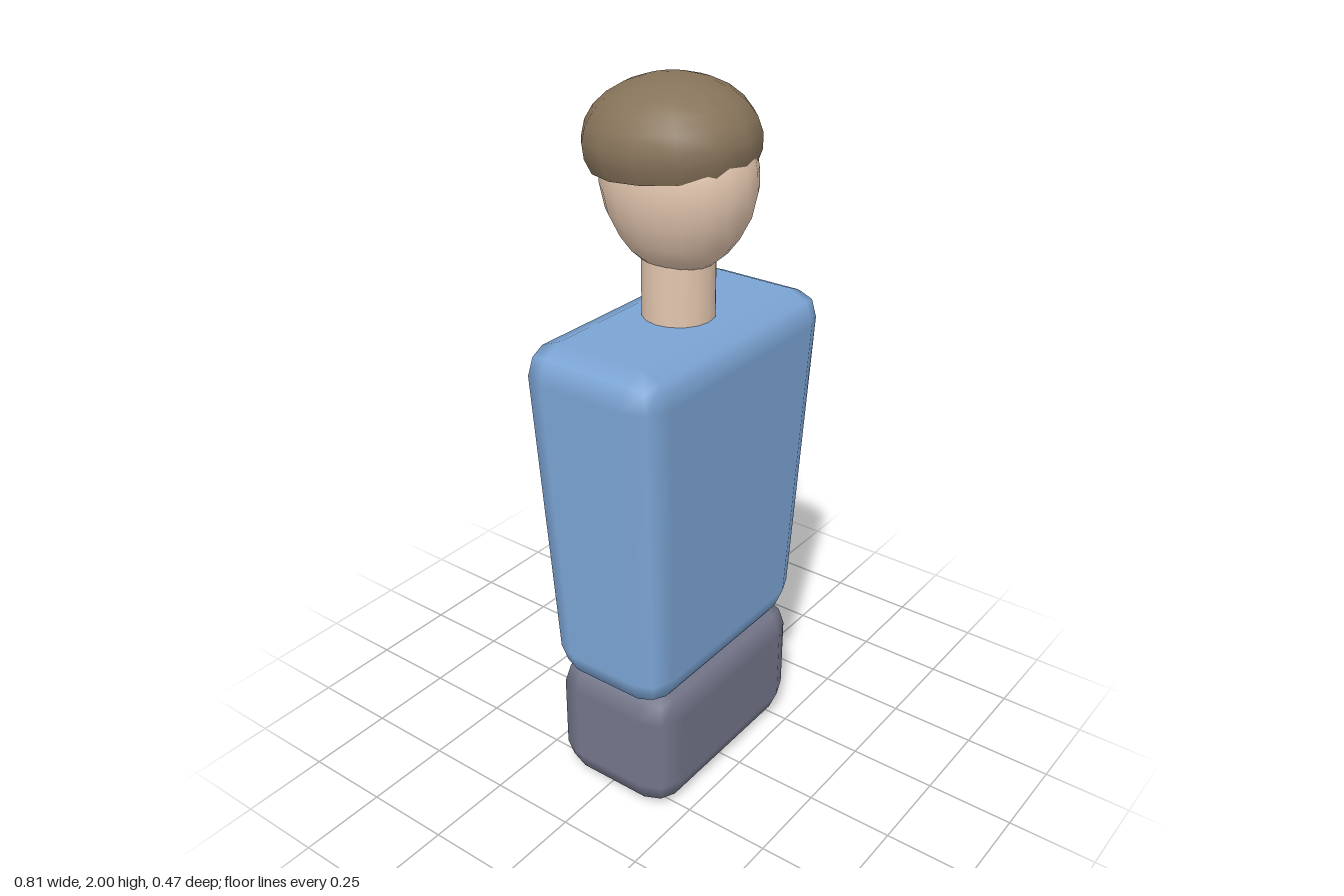
import * as THREE from 'three';
import { RoundedBoxGeometry } from 'three/addons/geometries/RoundedBoxGeometry.js';

const CENTRE_Z = 0.021;

const colour = (hex) => new THREE.MeshStandardMaterial({ color: hex });

function addPart(group, name, geometry, material, y = 0, z = CENTRE_Z) {
  const mesh = new THREE.Mesh(geometry, material);
  mesh.name = name;
  mesh.position.set(0, y, z);
  group.add(mesh);
  return mesh;
}

// Narrow a box towards its lower end
function taper(geometry, height, bottomScale) {
  const p = geometry.attributes.position;
  for (let i = 0; i < p.count; i++) {
    const s = THREE.MathUtils.lerp(bottomScale, 1, p.getY(i) / height + 0.5);
    p.setX(i, p.getX(i) * s);
    p.setZ(i, p.getZ(i) * s);
  }
  return geometry;
}

export function createModel() {
  const group = new THREE.Group();
  group.name = 'bust';

  const shirt = colour(0x7ba4d4);
  const trousers = colour(0x74768a);
  const skin = colour(0xe3c6af);
  const brown = colour(0x87735a);
  brown.side = THREE.DoubleSide;

  // Hips and torso: chamfered blocks
  addPart(group, 'hips', new RoundedBoxGeometry(0.664, 0.396, 0.396, 1, 0.088), trousers, 0.198);
  const torsoHeight = 1.025;
  const torso = new RoundedBoxGeometry(0.82, torsoHeight, 0.432, 1, 0.09);
  addPart(group, 'torso', taper(torso, torsoHeight, 0.84), shirt, 0.36 + torsoHeight / 2);

  // Neck
  addPart(group, 'neck', new THREE.CylinderGeometry(0.097, 0.097, 0.24, 16), skin, 1.47);

  // Head: egg profile, deeper than wide
  const headProfile = [
    [0, 1.525], [0.08, 1.53], [0.118, 1.566], [0.145, 1.606], [0.172, 1.665],
    [0.185, 1.73], [0.183, 1.78], [0.174, 1.83], [0.13, 1.91], [0.07, 1.95], [0, 1.96],
  ].map(([x, y]) => new THREE.Vector2(x, y));
  const head = addPart(group, 'head', new THREE.LatheGeometry(headProfile, 20), skin);
  head.scale.z = 1.12;

  // Hair: dome curling in slightly at the rim, tipped back
  const hairProfile = [];
  const rows = 8;
  for (let i = rows; i >= 0; i--) {
    const a = (i / rows) * THREE.MathUtils.degToRad(114);
    hairProfile.push(new THREE.Vector2(0.216 * Math.sin(a), 0.16 * Math.cos(a)));
  }
  const hair = addPart(group, 'hair', new THREE.LatheGeometry(hairProfile, 14), brown, 1.84, -0.003);
  hair.scale.z = 1.075;
  hair.rotation.x = -0.08;

  return group;
}
